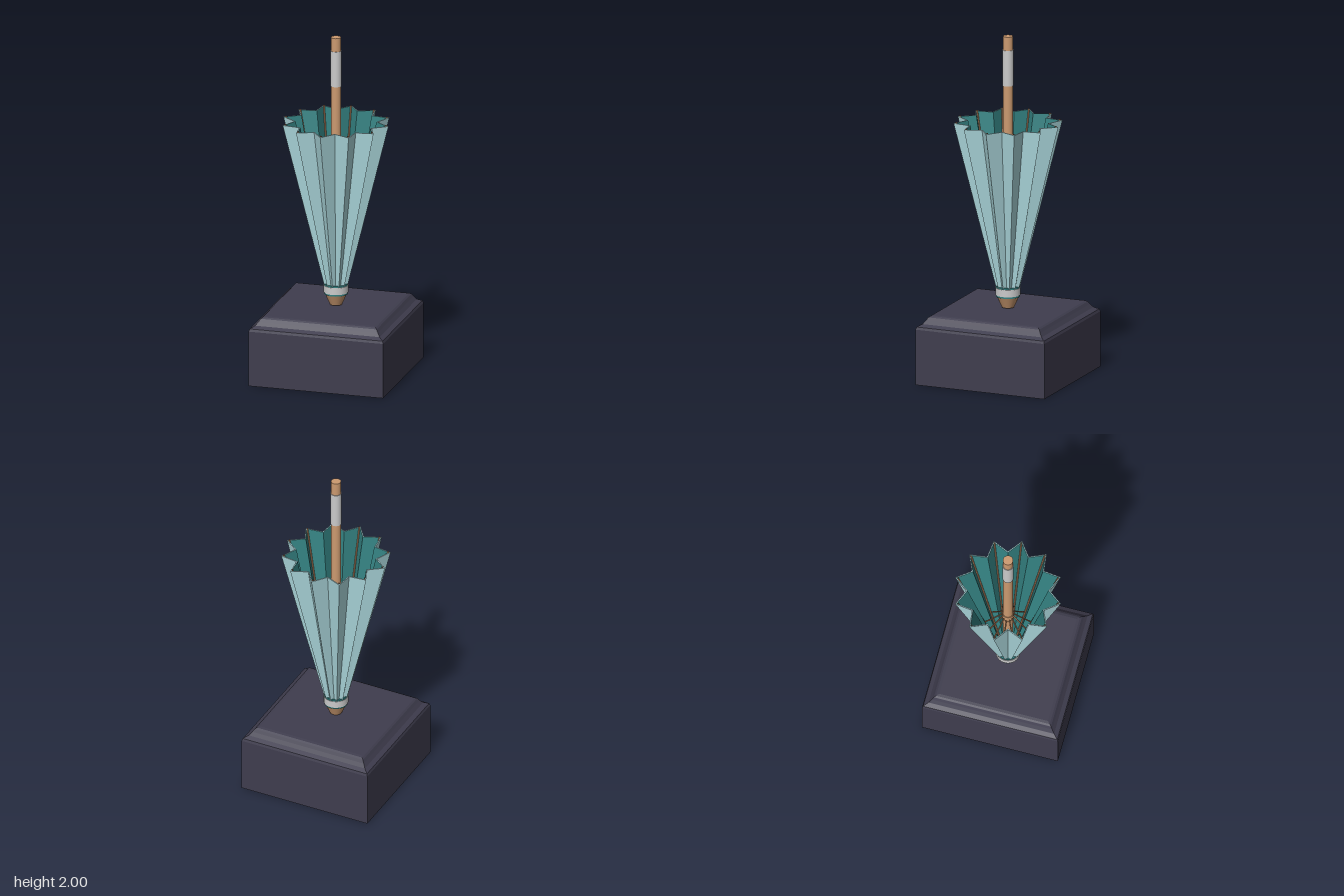
import * as THREE from 'three';

const mat = (color, extra = {}) => new THREE.MeshStandardMaterial({ color, ...extra });

const POINTS = 12; // folds of the canopy

function add(parent, name, geometry, material) {
  const mesh = new THREE.Mesh(geometry, material);
  mesh.name = name;
  parent.add(mesh);
  return mesh;
}

function lathe(profile, sides) {
  return new THREE.LatheGeometry(profile.map(([r, y]) => new THREE.Vector2(r, y)), sides);
}

// Lofts star-shaped rings [ridge radius, valley radius, height]
function starLoft(rings) {
  const n = POINTS * 2;
  const positions = [], index = [];
  for (const [ridge, valley, y] of rings) {
    for (let k = 0; k < n; k++) {
      const a = (k / n) * Math.PI * 2, r = k % 2 ? valley : ridge;
      positions.push(r * Math.cos(a), y, r * Math.sin(a));
    }
  }
  for (let j = 0; j < rings.length - 1; j++) {
    for (let k = 0; k < n; k++) {
      const a = j * n + k, b = j * n + (k + 1) % n;
      index.push(a, a + n, b + n, a, b + n, b);
    }
  }
  const g = new THREE.BufferGeometry();
  g.setAttribute('position', new THREE.Float32BufferAttribute(positions, 3));
  g.setIndex(index);
  const flat = g.toNonIndexed();
  flat.computeVertexNormals();
  return flat;
}

// Slim rod between two [radius, height] points in the plane at the given angle
function rod(angle, [r0, y0], [r1, y1], radius) {
  const at = (r, y) => new THREE.Vector3(r * Math.cos(angle), y, r * Math.sin(angle));
  const path = new THREE.LineCurve3(at(r0, y0), at(r1, y1));
  return new THREE.TubeGeometry(path, 1, radius, 6, false);
}

export function createModel() {
  const model = new THREE.Group();
  model.name = 'closedParasolOnPlinth';

  const wood = mat(0xcc9a70);
  const ribWood = mat(0xb98560, { side: THREE.DoubleSide });
  const metal = mat(0xcccccc);
  const teal = mat(0x338080);
  const tealInside = mat(0x338080, { flatShading: true });
  const paleTeal = mat(0xb0dde2, { flatShading: true });
  const slate = mat(0x3f3d4e, { flatShading: true });

  // Square plinth with a moulded upper edge: a four-sided lathe
  const plinth = lathe([
    [0, 0], [0.4, 0], [0.4, 0.325], [0.395, 0.34], [0.37, 0.354], [0.355, 0.374],
    [0.345, 0.39], [0.335, 0.397], [0.32, 0.4], [0, 0.4],
  ].map(([r, y]) => [r * Math.SQRT2, y]), 4);
  plinth.rotateY(Math.PI / 4);
  add(model, 'plinth', plinth, slate);

  // Pole and its grip sleeve
  const pole = add(model, 'pole', new THREE.CylinderGeometry(0.029, 0.029, 1.53, 24), wood);
  pole.position.y = 1.235;
  const grip = add(model, 'gripSleeve', new THREE.CylinderGeometry(0.032, 0.032, 0.21, 24), metal);
  grip.position.y = 1.815;

  // Pointed tip and collar
  add(model, 'tip', new THREE.CylinderGeometry(0.064, 0.035, 0.065, 24), wood).position.y = 0.4375;
  add(model, 'collarBand', new THREE.CylinderGeometry(0.068, 0.068, 0.062, 24), teal).position.y = 0.5;
  add(model, 'collarRing', new THREE.CylinderGeometry(0.071, 0.071, 0.042, 24), metal).position.y = 0.5;

  // Pleated canopy: pale outside with a rim, darker lining
  const canopy = new THREE.Group();
  canopy.name = 'canopy';
  model.add(canopy);
  add(canopy, 'canopyOutside', starLoft([
    [0.066, 0.052, 0.51], [0.312, 0.238, 1.495], [0.302, 0.23, 1.495],
  ]), paleTeal);
  add(canopy, 'canopyLining', starLoft([
    [0.302, 0.23, 1.495], [0.056, 0.044, 0.51],
  ]), tealInside);

  // Ribs along each ridge, with stretchers rising to the pole
  const frame = new THREE.Group();
  frame.name = 'frame';
  model.add(frame);
  for (let i = 0; i < POINTS; i++) {
    const a = (i / POINTS) * Math.PI * 2;
    add(frame, 'rib', rod(a, [0.05, 0.52], [0.298, 1.5], 0.005), ribWood);
    add(frame, 'stretcher', rod(a, [0.138, 0.87], [0.028, 1.1], 0.004), ribWood);
  }
  const runner = add(frame, 'runner', new THREE.CylinderGeometry(0.032, 0.032, 0.06, 24), wood);
  runner.position.y = 1.1;

  return model;
}
